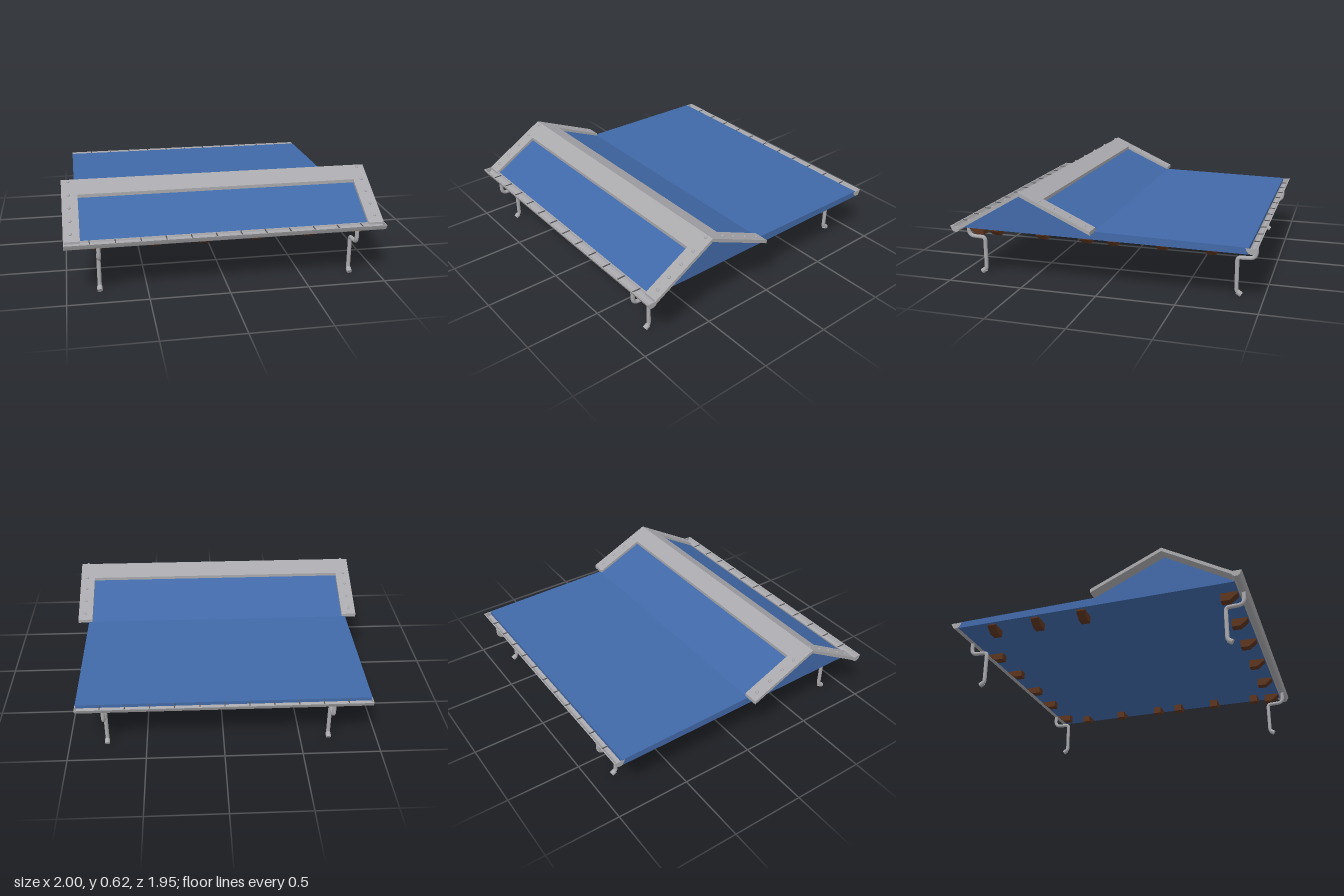
import * as THREE from 'three';

const mat = (name, color, extra = {}) => {
  const m = new THREE.MeshStandardMaterial({ color, ...extra });
  m.name = name;
  return m;
};

export function createModel() {
  const root = new THREE.Group();
  root.name = 'roof';
  const blue = mat('blue roofing', 0x4169a8);
  const grey = mat('grey metal', 0xa9a9ad);
  const dark = mat('dark seam', 0x58585c);
  const brown = mat('brown timber', 0x5c3420);

  const add = (name, geo, material, parent = root) => {
    const mesh = new THREE.Mesh(geo, material);
    mesh.name = name;
    parent.add(mesh);
    return mesh;
  };
  const group = (name) => {
    const g = new THREE.Group();
    g.name = name;
    root.add(g);
    return g;
  };

  // Extrude a (z, y) profile along x from x0 to x1
  const sweepX = (points, x0, x1) => {
    const shape = new THREE.Shape(points.map(([z, y]) => new THREE.Vector2(z, y)));
    const geo = new THREE.ExtrudeGeometry(shape, { depth: x1 - x0, bevelEnabled: false });
    return geo.rotateY(-Math.PI / 2).translate(x1, 0, 0);
  };

  // Roof body: gable at the front, shallow deck at the back
  add('roofBody', sweepX([
    [0.92, 0.342], [0.92, 0.348], [0.49, 0.598], [0.03, 0.39], [-0.92, 0.373], [-0.92, 0.332],
  ], -0.925, 0.925), blue);

  // Heights of the trim surface on both slopes
  const peak = 0.62, t = 0.024;
  const trimY = (z) => peak - (z > 0.49 ? (z - 0.49) * 0.585 : (0.49 - z) * 0.457);
  const chevron = (zBack, zFront) => [
    [zBack, trimY(zBack) - t], [zBack, trimY(zBack)], [0.49, peak],
    [zFront, trimY(zFront)], [zFront, trimY(zFront) - t], [0.49, peak - t],
  ];
  add('ridgeCap', sweepX(chevron(0.37, 0.6), -0.9, 0.9), grey);

  // Barge boards with rivets at both gable ends
  for (const side of [1, -1]) {
    const board = group(side > 0 ? 'leftBargeBoard' : 'rightBargeBoard');
    const xs = [side * 0.9, side * 1].sort((a, b) => a - b);
    add('board', sweepX(chevron(0.03, 0.915), xs[0], xs[1]), grey, board);
    for (const z of [0.08, 0.18, 0.28, 0.37, 0.505, 0.6, 0.69, 0.78, 0.865]) {
      const rivet = add('rivet', new THREE.SphereGeometry(0.011, 10, 6), grey, board);
      rivet.position.set(side * 0.955, trimY(z), z);
      rivet.rotation.x = z > 0.49 ? 0.53 : -0.43;
      rivet.scale.y = 0.7;
    }
  }

  // Gutters: open trough, end caps and seams; dir is the outward z direction
  const makeGutter = (name, dir, half) => {
    const g = group(name);
    const outer = [[-0.035, 0.37], [-0.033, 0.358], [-0.02, 0.34], [-0.008, 0.333],
      [0.01, 0.333], [0.022, 0.34], [0.03, 0.356], [0.036, 0.37]];
    const inner = [[0.028, 0.37], [0.022, 0.357], [0.015, 0.346], [0.005, 0.34],
      [-0.006, 0.34], [-0.014, 0.346], [-0.024, 0.36], [-0.027, 0.37]];
    const place = (pts) => pts.map(([z, y]) => [dir * (0.937 + z), y]);
    add('trough', sweepX(place([...outer, ...inner]), -half, half), grey, g);
    for (const s of [1, -1]) {
      const a = s > 0 ? half - 0.006 : -half;
      add('endCap', sweepX(place(outer), a, a + 0.006), grey, g);
    }
    const n = Math.round(half * 2 / 0.155);
    for (let i = 1; i < n; i++) {
      const seam = add('seam', new THREE.BoxGeometry(0.006, 0.005, 0.06), dark, g);
      seam.position.set(-half + i * 2 * half / n, 0.368, dir * 0.937);
    }
  };
  makeGutter('frontGutter', 1, 1);
  makeGutter('backGutter', -1, 0.927);

  // Downpipes: elbow under the roof, drop, then kick outward
  const pipePath = (dir) => {
    const path = new THREE.CurvePath();
    const pts = [[0.945, 0.34], [0.945, 0.255], [0.83, 0.25], [0.83, 0.035], [0.853, 0.02]]
      .map(([z, y]) => new THREE.Vector3(0, y, dir * z));
    const bend = [0, 0.04, 0.022, 0.012, 0];
    let from = pts[0];
    for (let i = 1; i < pts.length; i++) {
      if (i === pts.length - 1) { path.add(new THREE.LineCurve3(from, pts[i])); break; }
      const before = pts[i].clone().add(pts[i - 1].clone().sub(pts[i]).setLength(bend[i]));
      const after = pts[i].clone().add(pts[i + 1].clone().sub(pts[i]).setLength(bend[i]));
      path.add(new THREE.LineCurve3(from, before));
      path.add(new THREE.QuadraticBezierCurve3(before, pts[i], after));
      from = after;
    }
    return path;
  };
  for (const [x, dir] of [[-0.795, 1], [0.815, 1], [-0.685, -1], [0.755, -1]]) {
    const g = group(dir > 0 ? 'frontDownpipe' : 'backDownpipe');
    g.position.x = x;
    add('pipe', new THREE.TubeGeometry(pipePath(dir), 70, 0.013, 12), grey, g);
    const spout = add('spout', new THREE.CylinderGeometry(0.017, 0.017, 0.03, 12), grey, g);
    spout.position.set(0, 0.021, dir * 0.848);
    spout.rotation.x = dir * 2.15;
  }

  // Timber brackets under the eaves; local +z points outward
  const bracketGeo = sweepX([
    [-0.05, 0.34], [0.055, 0.34], [0.055, 0.326], [0.005, 0.287], [-0.05, 0.287],
  ], -0.028, 0.028);
  const brackets = group('eaveBrackets');
  const addBracket = (x, z, turn) => {
    const b = add('bracket', bracketGeo, brown, brackets);
    b.position.set(x, 0, z);
    b.rotation.y = turn;
  };
  for (const x of [-0.79, -0.45, -0.14, 0.19, 0.53, 0.85]) addBracket(x, 0.855, 0);
  for (const x of [-0.475, -0.175, 0.145, 0.44, 0.76]) addBracket(x, -0.86, Math.PI);
  for (const z of [-0.69, -0.385, -0.07, 0.105, 0.4, 0.72]) addBracket(0.85, z, Math.PI / 2);
  for (const z of [-0.69, -0.385, -0.07]) addBracket(-0.85, z, -Math.PI / 2);

  return root;
}
